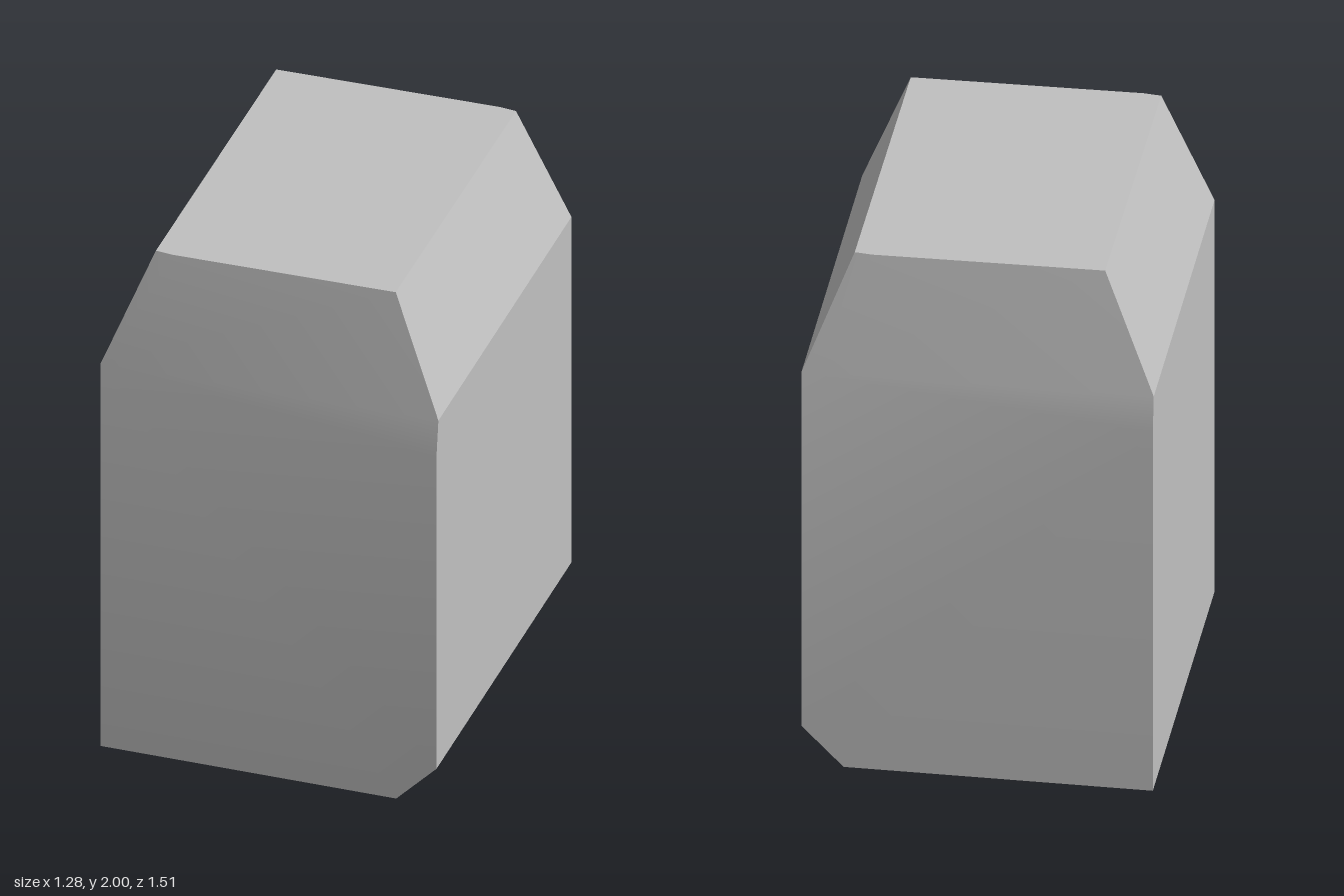
import * as THREE from 'three';
import { toCreasedNormals } from 'three/addons/utils/BufferGeometryUtils.js';

// Flat polygons (corners anticlockwise from outside) cut into triangle fans.
function polygons(faces) {
  const positions = [];
  for (const f of faces)
    for (let i = 1; i < f.length - 1; i++) positions.push(...f[0], ...f[i], ...f[i + 1]);
  const geometry = new THREE.BufferGeometry();
  geometry.setAttribute('position', new THREE.Float32BufferAttribute(positions, 3));
  return toCreasedNormals(geometry, 0.28);
}

// Corners of one end wall; the other end is the same half-turned about y.
function endCorners(s) {
  const p = (x, y, z) => [s * x, y, s * z];
  return {
    lowBend: p(0.64, 1.42, 0.755),
    shoulder: p(0.64, 1.555, 0.735),
    top: p(0.455, 2, 0.66),
    topNick: p(-0.37, 2, 0.675),
    farTop: p(-0.435, 2, 0.667),
    farShoulder: p(-0.61, 1.555, 0.755),
  };
}

export function createModel() {
  const model = new THREE.Group();
  const grey = new THREE.MeshStandardMaterial({ color: 0xc0c0c0 });
  grey.name = 'light grey';

  const f = endCorners(1);
  const b = endCorners(-1);

  // Base corners: the +x bottom edge is chamfered
  const fl = [-0.61, 0, 0.755], fr = [0.49, 0, 0.755], frUp = [0.64, 0.15, 0.755];
  const bl = [-0.64, 0, -0.755], br = [0.46, 0, -0.755], brUp = [0.61, 0.15, -0.755];

  // Sloped upper part of an end wall
  const slope = (e) => [
    [e.farShoulder, e.lowBend, e.shoulder, e.top, e.topNick],
    [e.farShoulder, e.topNick, e.farTop],
  ];

  const parts = {
    frontWall: [[f.farShoulder, fl, fr, frUp, f.lowBend], ...slope(f)],
    backWall: [[b.lowBend, b.farShoulder, brUp, br, bl], ...slope(b)],
    leftWall: [[frUp, brUp, b.farShoulder, f.shoulder, f.lowBend]],
    rightWall: [[bl, fl, f.farShoulder, b.shoulder, b.lowBend]],
    leftShoulder: [[f.shoulder, b.farShoulder, b.farTop, f.top]],
    rightShoulder: [[b.shoulder, f.farShoulder, f.farTop, b.top]],
    top: [[f.farTop, f.topNick, f.top, b.farTop, b.topNick, b.top]],
    bottomChamfer: [[fr, br, brUp, frUp]],
    bottom: [[fl, bl, br, fr]],
  };

  for (const [name, faces] of Object.entries(parts)) {
    const mesh = new THREE.Mesh(polygons(faces), grey);
    mesh.name = name;
    model.add(mesh);
  }
  return model;
}
